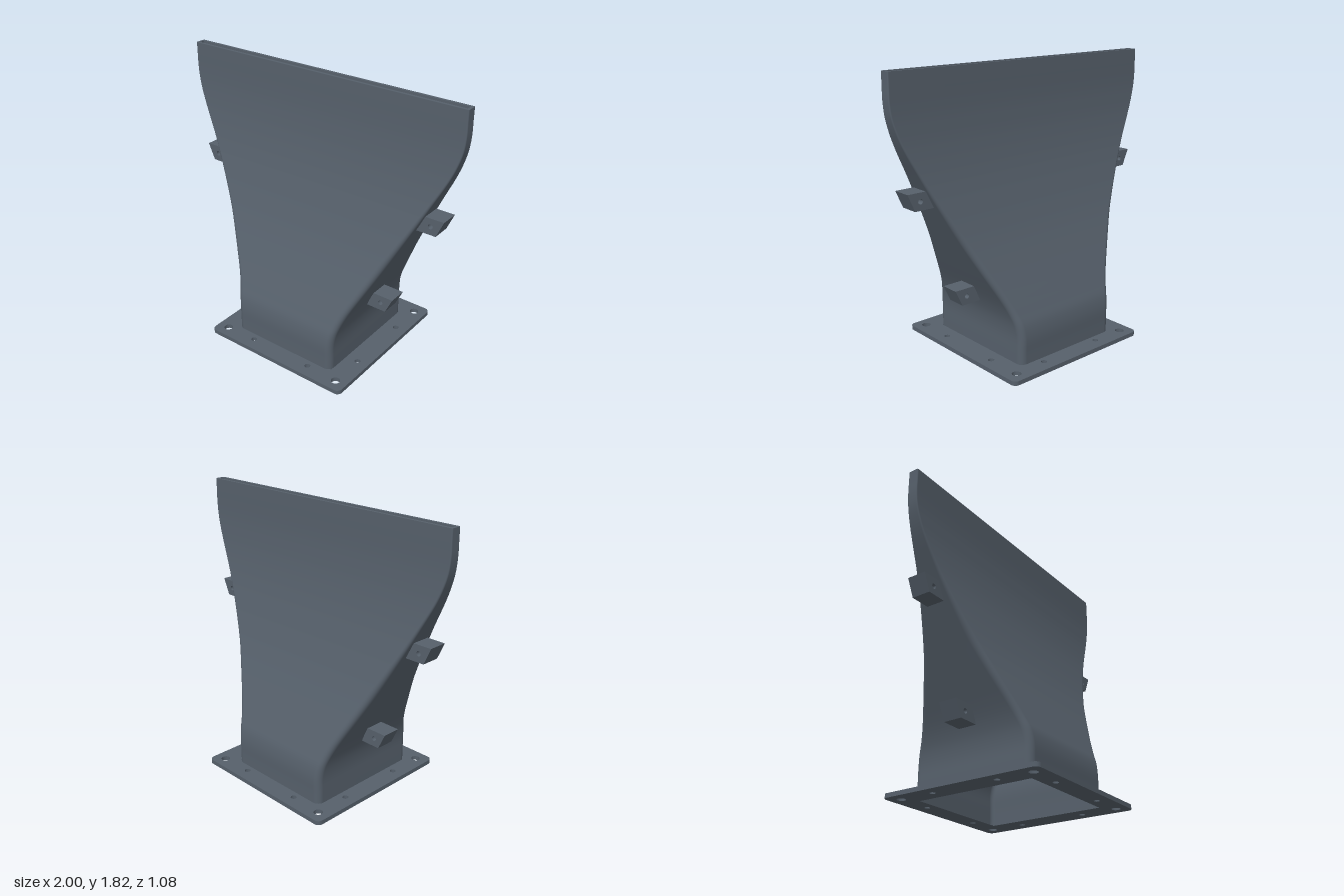
import * as THREE from 'three';

const WALL = 0.018;

// Half width, height and half depth of the duct from base to slot
const profile = new THREE.CatmullRomCurve3([
  [0.387, 0.0, 0.415], [0.387, 0.1, 0.415], [0.387, 0.2, 0.415], [0.397, 0.28, 0.402],
  [0.417, 0.35, 0.375], [0.45, 0.43, 0.342], [0.535, 0.6, 0.272], [0.635, 0.8, 0.195],
  [0.735, 1.0, 0.133], [0.835, 1.2, 0.083], [0.925, 1.38, 0.053], [0.965, 1.48, 0.043],
  [0.99, 1.57, 0.037], [1.0, 1.66, 0.035], [1.0, 1.74, 0.035], [1.0, 1.82, 0.035],
].map((p) => new THREE.Vector3(...p)));
const stations = profile.getPoints(60);

// Rounded rectangle ring at one height, pulled in by the inset
function ring(p, inset) {
  const hx = p.x - inset, hz = p.z - inset;
  const r = Math.min(0.045, p.z * 0.22) * (inset ? 0.6 : 1);
  const points = [];
  for (let c = 0; c < 4; c++) {
    const sx = c === 0 || c === 3 ? 1 : -1, sz = c < 2 ? 1 : -1;
    for (let i = 0; i <= 6; i++) {
      const a = (c + i / 6) * Math.PI / 2;
      points.push([sx * (hx - r) + r * Math.cos(a), p.y, sz * (hz - r) + r * Math.sin(a)]);
    }
  }
  return points;
}

// Skin over a list of equal rows of points
function skin(rows, closed) {
  const n = rows[0].length, index = [];
  for (let i = 0; i < rows.length - 1; i++) {
    for (let j = 0; j < (closed ? n : n - 1); j++) {
      const a = i * n + j, b = i * n + (j + 1) % n;
      index.push(a, a + n, b, b, a + n, b + n);
    }
  }
  const geo = new THREE.BufferGeometry();
  geo.setAttribute('position', new THREE.Float32BufferAttribute(rows.flat(2), 3));
  geo.setIndex(index);
  geo.computeVertexNormals();
  return geo;
}

function hole(x, y, r) {
  return new THREE.Path().absarc(x, y, r, 0, Math.PI * 2, true);
}

export function createModel() {
  const model = new THREE.Group();
  model.name = 'ductTransition';
  const steel = new THREE.MeshStandardMaterial({ color: 0x56606b, side: THREE.DoubleSide });
  steel.name = 'slate grey';
  const add = (name, geo) => {
    const mesh = new THREE.Mesh(geo, steel);
    mesh.name = name;
    model.add(mesh);
    return mesh;
  };

  // Hollow duct: outside, rim of the slot, inside
  const outer = stations.map((p) => ring(p, 0));
  const inner = stations.map((p) => ring(p, WALL)).reverse();
  add('ductOuterWall', skin(outer, true));
  add('slotRim', skin([outer[outer.length - 1], inner[0]], true));
  add('ductInnerWall', skin(inner, true));

  // Inner dividers: one flat sheet across the width, two spreading vanes
  const upper = stations.filter((p) => p.y > 0.42 && p.y < 1.78);
  add('centreDivider', skin(upper.map((p) => [-1, 1].map((s) => [s * (p.x - WALL), p.y, 0])), false));
  for (const side of [-1, 1]) {
    add(side > 0 ? 'leftVane' : 'rightVane', skin(upper.map((p) => [-1, 1].map(
      (s) => [side * 0.17 * (p.y - 0.42) / 1.36, p.y, s * (p.z - WALL)])), false));
  }

  // Base flange with rounded corners, a square opening and bolt holes
  const w = 0.535, d = 0.542, r = 0.035;
  const plate = new THREE.Shape();
  plate.absarc(w - r, d - r, r, 0, Math.PI / 2);
  plate.absarc(-w + r, d - r, r, Math.PI / 2, Math.PI);
  plate.absarc(-w + r, -d + r, r, Math.PI, Math.PI * 1.5);
  plate.absarc(w - r, -d + r, r, Math.PI * 1.5, Math.PI * 2);
  plate.closePath();
  const ox = 0.369, oz = 0.397;
  plate.holes.push(new THREE.Path([[-ox, -oz], [-ox, oz], [ox, oz], [ox, -oz]]
    .map((p) => new THREE.Vector2(...p))));
  for (const sx of [-1, 1]) {
    for (const sz of [-1, 1]) {
      plate.holes.push(hole(sx * 0.455, sz * 0.465, 0.029));
      plate.holes.push(hole(sx * 0.227, sz * 0.46, 0.019));
      plate.holes.push(hole(sx * 0.455, sz * 0.227, 0.019));
    }
  }
  const flangeGeo = new THREE.ExtrudeGeometry(plate, { depth: 0.028, bevelEnabled: false, curveSegments: 10 });
  flangeGeo.rotateX(-Math.PI / 2);
  add('baseFlange', flangeGeo).position.x = 0.015;

  // Slanted mounting lugs on both sides, drilled front to back
  const lugs = [
    { name: 'lowerLug', y0: 0.36, y1: 0.465, in0: 0.413, in1: 0.458, out0: 0.557, out1: 0.607, hx: 0.52, hy: 0.413 },
    { name: 'upperLug', y0: 1.022, y1: 1.13, in0: 0.738, in1: 0.792, out0: 0.875, out1: 0.923, hx: 0.837, hy: 1.076 },
  ];
  for (const l of lugs) {
    for (const s of [-1, 1]) {
      const shape = new THREE.Shape([[l.in0, l.y0], [l.out0, l.y0], [l.out1, l.y1], [l.in1, l.y1]]
        .map(([x, y]) => new THREE.Vector2(s * x, y)));
      shape.holes.push(hole(s * l.hx, l.hy, 0.016));
      const geo = new THREE.ExtrudeGeometry(shape, { depth: 0.124, bevelEnabled: false, curveSegments: 10 });
      add(l.name + (s > 0 ? 'Left' : 'Right'), geo).position.z = -0.062;
    }
  }
  return model;
}
